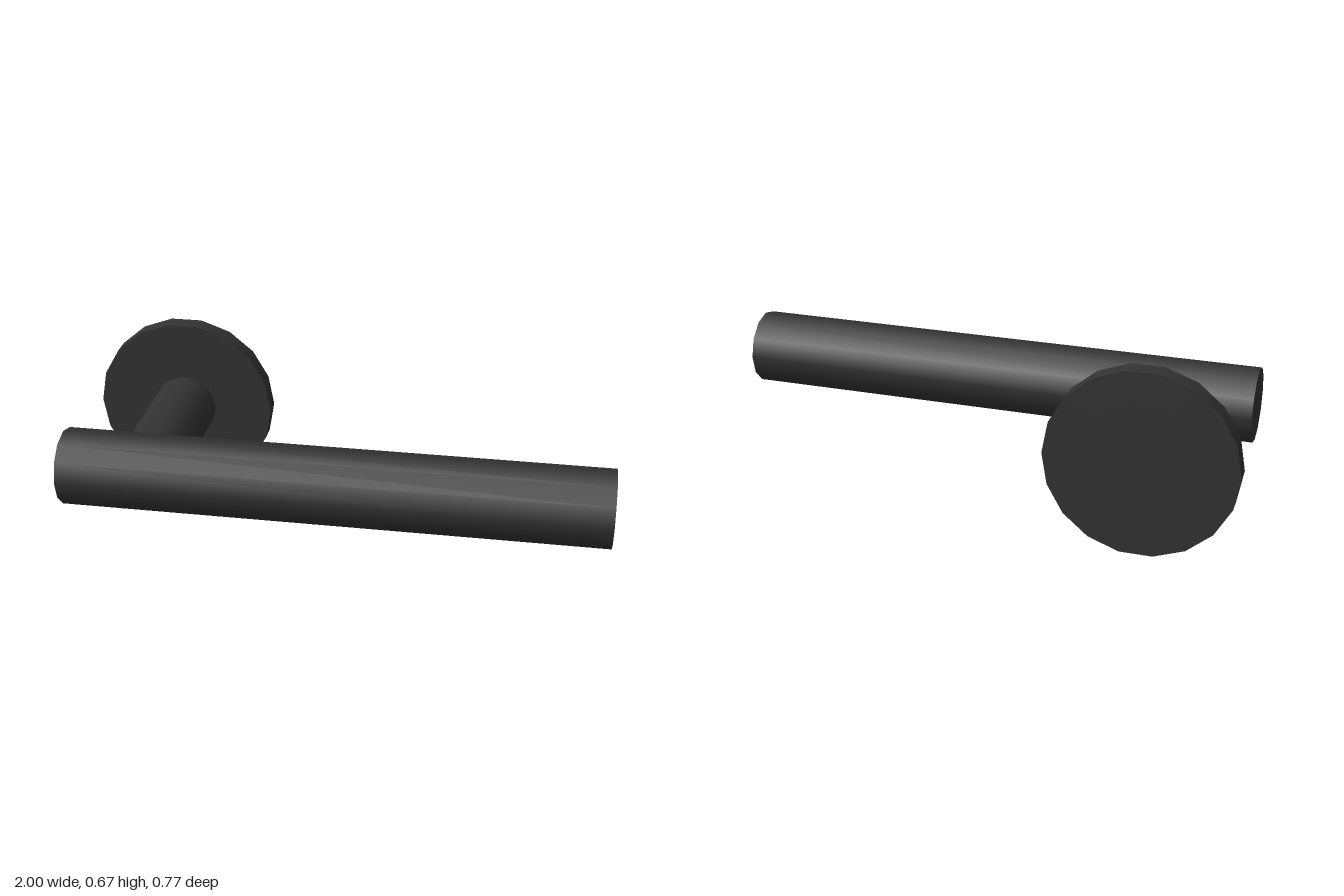
import * as THREE from 'three';

const material = new THREE.MeshStandardMaterial({ color: 0x333333 });
const NECK_X = -0.6625;
const AXIS_Y = 0.334;

// Cylinder along z between two depths, with a corner on the x axis
function discAlongZ(name, radius, zBack, zFront, sides) {
  const geometry = new THREE.CylinderGeometry(
    radius, radius, zFront - zBack, sides, 1, false, Math.PI / 2);
  geometry.rotateX(Math.PI / 2);
  const mesh = new THREE.Mesh(geometry, material);
  mesh.name = name;
  mesh.position.set(NECK_X, AXIS_Y, (zBack + zFront) / 2);
  return mesh;
}

export function createModel() {
  const group = new THREE.Group();
  group.name = 'doorLever';

  // Round wall plate, its fine inner ring, and the neck that passes through it
  group.add(discAlongZ('rosePlate', 0.339, -0.385, -0.315, 18));
  group.add(discAlongZ('roseInnerRing', 0.218, -0.3855, -0.3145, 18));
  group.add(discAlongZ('neck', 0.119, -0.386, 0.22, 18));

  // Straight grip bar
  const x0 = -0.962, x1 = 1;
  const barGeometry = new THREE.CylinderGeometry(0.139, 0.139, x1 - x0, 12);
  barGeometry.rotateZ(-Math.PI / 2);
  const bar = new THREE.Mesh(barGeometry, material);
  bar.name = 'gripBar';
  bar.position.set((x0 + x1) / 2, AXIS_Y, 0.246);
  group.add(bar);

  return group;
}
